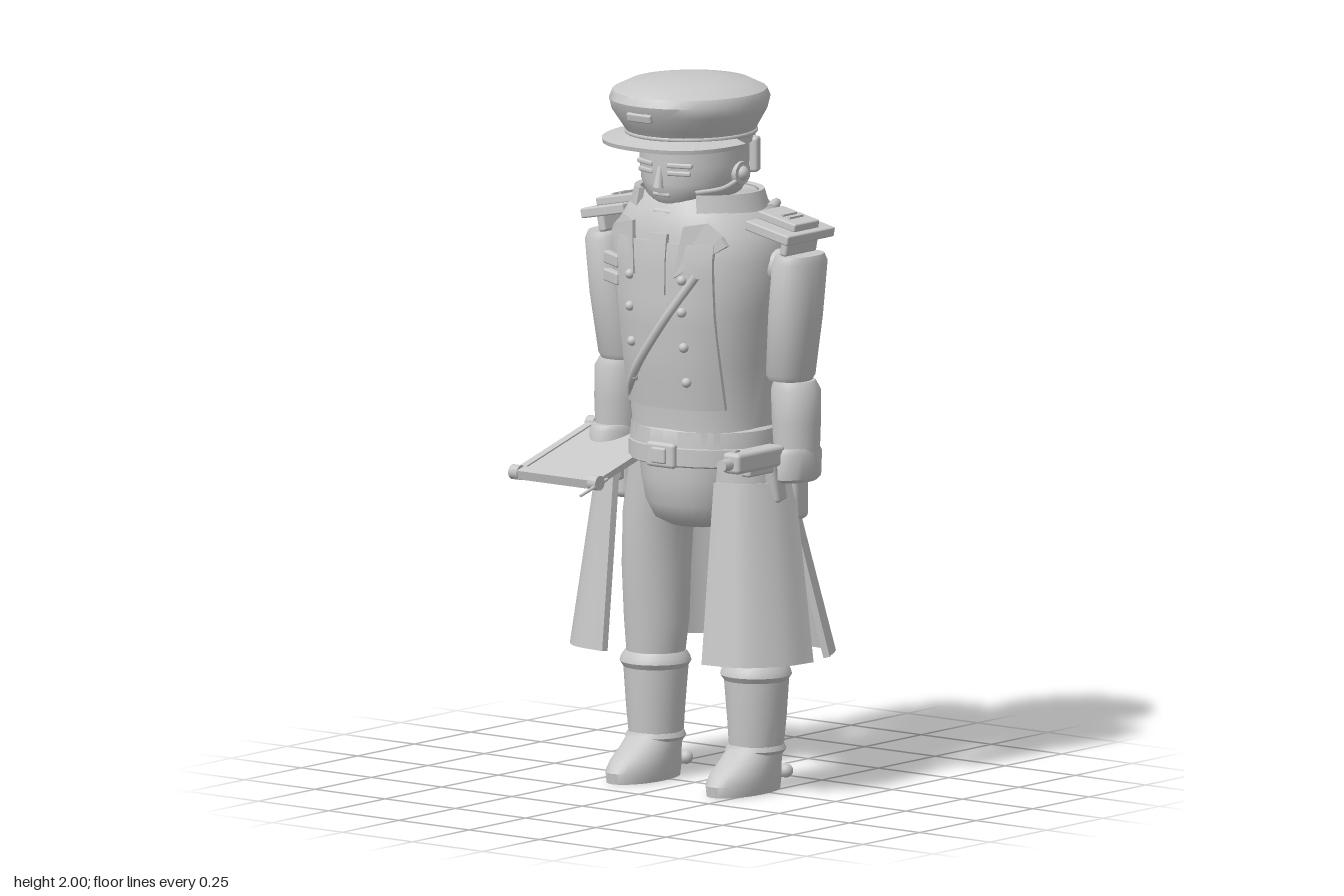
import * as THREE from 'three';
import { toCreasedNormals } from 'three/addons/utils/BufferGeometryUtils.js';
import { RoundedBoxGeometry } from 'three/addons/geometries/RoundedBoxGeometry.js';

const V = (x, y, z) => new THREE.Vector3(x, y, z);
const grey = new THREE.MeshStandardMaterial({ color: 0xc8c8c8 });
grey.name = 'plain grey';

// Signed power, for rounded-square outlines
const pw = (v, k) => Math.sign(v) * Math.abs(v) ** k;

// Closed body from oval rings; rows are [y, rx, rz, cx, cz], bottom to top
function loft(rows, n = 28, k = 1) {
  const pos = [], idx = [];
  for (const [y, rx, rz, cx = 0, cz = 0] of rows)
    for (let i = 0; i < n; i++) {
      const a = i / n * Math.PI * 2;
      pos.push(cx + pw(Math.sin(a), k) * rx, y, cz + pw(Math.cos(a), k) * rz);
    }
  for (let j = 0; j < rows.length - 1; j++)
    for (let i = 0; i < n; i++) {
      const a = j * n + i, b = j * n + (i + 1) % n;
      idx.push(a, b, b + n, a, b + n, a + n);
    }
  const top = (rows.length - 1) * n, c = rows.length * n;
  for (const [y, , , cx = 0, cz = 0] of [rows[0], rows[rows.length - 1]]) pos.push(cx, y, cz);
  for (let i = 0; i < n; i++) {
    const j = (i + 1) % n;
    idx.push(c, j, i, c + 1, top + i, top + j);
  }
  const g = new THREE.BufferGeometry();
  g.setAttribute('position', new THREE.Float32BufferAttribute(pos, 3));
  g.setIndex(idx);
  return toCreasedNormals(g, 0.7);
}

// Cloth of even thickness between a lower and an upper edge, each a function of u
function sheet(low, high, t = 0.016, nu = 20, nv = 6) {
  const g = new THREE.BoxGeometry(1, 1, 1, nu, nv, 1), p = g.attributes.position;
  const at = (u, v) => low(u).lerp(high(u), v);
  for (let i = 0; i < p.count; i++) {
    const u = p.getX(i) + 0.5, v = p.getY(i) + 0.5, e = 0.01;
    const u0 = Math.max(u - e, 0), u1 = Math.min(u + e, 1);
    const du = at(u1, v).sub(at(u0, v)), dv = high(u).sub(low(u));
    const q = at(u, v).addScaledVector(du.cross(dv).normalize(), p.getZ(i) * t);
    p.setXYZ(i, q.x, q.y, q.z);
  }
  g.computeVertexNormals();
  return g;
}

const curve = pts => new THREE.CatmullRomCurve3(pts.map(p => V(...p)));
const edge = (...pts) => {
  const c = curve(pts);
  return u => c.getPoint(u);
};
const tube = (pts, r) => new THREE.TubeGeometry(curve(pts), 24, r, 8);

const ROUND = 0.9;
const TORSO = [
  [0.97, 0.212, 0.18, 0, -0.015], [1.03, 0.203, 0.176, 0, -0.014], [1.2, 0.222, 0.199, 0, -0.012],
  [1.35, 0.245, 0.209, 0, -0.009], [1.5, 0.268, 0.206, 0, -0.008], [1.57, 0.25, 0.196, 0, -0.006],
  [1.63, 0.205, 0.178, 0, -0.002], [1.67, 0.15, 0.15, 0, 0]];

// Depth of the coat's front at a point
function chest(x, y) {
  let k = 0;
  while (k < TORSO.length - 2 && y > TORSO[k + 1][0]) k++;
  const a = TORSO[k], b = TORSO[k + 1];
  const t = (y - a[0]) / (b[0] - a[0]), m = i => a[i] + (b[i] - a[i]) * t;
  return m(4) + m(2) * Math.max(0, 1 - Math.abs(x / m(1)) ** (2 / ROUND)) ** (ROUND / 2);
}
const onChest = (x, y, lift) => [x, y, chest(x, y) + lift];

// Push a flat geometry onto the chest
function drape(g, lift) {
  const p = g.attributes.position;
  for (let i = 0; i < p.count; i++) p.setZ(i, p.getZ(i) + chest(p.getX(i), p.getY(i)) + lift);
  g.computeVertexNormals();
  return g;
}

export function createModel() {
  const model = new THREE.Group(), body = new THREE.Group();
  body.name = 'officer';
  body.position.x = 0.02;
  model.add(body);
  const add = (name, geo, x = 0, y = 0, z = 0, rx = 0, ry = 0, rz = 0, parent = body) => {
    const m = new THREE.Mesh(geo, grey);
    m.name = name;
    m.position.set(x, y, z);
    m.rotation.set(rx, ry, rz);
    parent.add(m);
  };
  const box = (w, h, d) => new THREE.BoxGeometry(w, h, d);
  const soft = (w, h, d, r = 0.01) => new RoundedBoxGeometry(w, h, d, 3, r);
  const rod = (r, l, r2 = r) => new THREE.CylinderGeometry(r2, r, l, 14);
  const ball = r => new THREE.SphereGeometry(r, 14, 10);

  // Coat, hips and belt
  add('coat', loft(TORSO, 32, ROUND));
  add('hips', loft([[0.735, 0.09, 0.095, 0, -0.01], [0.755, 0.13, 0.13, 0, -0.01], [0.8, 0.153, 0.153, 0, -0.01],
    [0.87, 0.166, 0.165, 0, -0.01], [0.95, 0.18, 0.165, 0, -0.01]], 28, ROUND));
  add('belt', loft([[0.915, 0.212, 0.18, 0, -0.015], [0.92, 0.222, 0.19, 0, -0.015],
    [0.968, 0.222, 0.19, 0, -0.015], [0.973, 0.212, 0.18, 0, -0.015]]));
  add('coatHem', loft([[0.97, 0.22, 0.186, 0, -0.015], [1.015, 0.216, 0.182, 0, -0.015], [1.025, 0.2, 0.172, 0, -0.015]]));
  add('buckle', soft(0.1, 0.07, 0.025), 0, 0.947, 0.172);
  add('buckleFrame', soft(0.05, 0.045, 0.02, 0.006), 0, 0.947, 0.183);
  add('backStrap', sheet(edge([0.14, 0.94, -0.165], [0, 0.94, -0.218], [-0.14, 0.94, -0.165]),
    edge([0.14, 0.975, -0.165], [0, 0.975, -0.218], [-0.14, 0.975, -0.165])));
  for (const s of [-1, 1]) add('strapButton', ball(0.016), s * 0.115, 0.957, -0.188);

  // Double-breasted front, lapels, buttons and medals
  const front = box(0.33, 0.47, 0.014).toNonIndexed() && new THREE.BoxGeometry(0.33, 0.47, 0.014, 16, 14, 1);
  add('coatFront', drape(front.translate(0.008, 1.315, 0), 0.002));
  add('shirtFront', drape(new THREE.BoxGeometry(0.06, 0.17, 0.012, 2, 6, 1).translate(0.01, 1.49, 0), 0.008));
  for (const s of [-1, 1]) {
    for (const y of [1.16, 1.26, 1.36, 1.45]) add('button', ball(0.014), ...onChest(s * 0.092, y, 0.01));
    const lapel = new THREE.Shape([[0.07, 1.455], [0.205, 1.55], [0.19, 1.575], [0.145, 1.61], [0.09, 1.6]]
      .map(([x, y]) => new THREE.Vector2(s * x, y)));
    add('lapel', drape(new THREE.ExtrudeGeometry(lapel, { depth: 0.014, bevelEnabled: false }), 0.005));
  }
  add('chestStrap', tube([[-0.205, 1.01], [-0.1, 1.155], [0.02, 1.31], [0.135, 1.465]]
    .map(([x, y]) => onChest(x, y, 0.014)), 0.012));
  for (const y of [1.475, 1.425]) add('medalBar', soft(0.095, 0.035, 0.025, 0.006), -0.19, y, 0.15, 0, -0.5);

  // Collar
  const ring = (y, rx, rz, dip) => u => {
    const a = (0.09 + 0.82 * u) * Math.PI * 2;
    return V(Math.sin(a) * rx, y - dip * Math.cos(a), 0.005 + Math.cos(a) * rz);
  };
  add('collar', sheet(ring(1.615, 0.2, 0.17, 0.015), ring(1.68, 0.18, 0.16, -0.004), 0.016, 36, 3));
  add('neckCloth', soft(0.07, 0.05, 0.04), 0, 1.615, 0.155);

  // Head and face
  add('neck', loft([[1.58, 0.1, 0.1], [1.68, 0.1, 0.1]]));
  add('head', loft([[1.628, 0.05, 0.075, 0, 0.05], [1.645, 0.09, 0.12, 0, 0.035], [1.675, 0.123, 0.147, 0, 0.03],
    [1.71, 0.143, 0.158, 0, 0.026], [1.76, 0.15, 0.16, 0, 0.025], [1.85, 0.15, 0.16, 0, 0.025]]));
  add('nose', rod(0.015, 0.06, 0.007), 0, 1.73, 0.184, -0.15);
  add('mouth', soft(0.06, 0.012, 0.015, 0.005), 0, 1.68, 0.171);
  for (const s of [-1, 1]) {
    add('brow', soft(0.075, 0.014, 0.016, 0.005), s * 0.06, 1.765, 0.168, 0, s * 0.35);
    add('eye', soft(0.07, 0.014, 0.012, 0.005), s * 0.058, 1.743, 0.169, 0, s * 0.35);
  }
  add('earPiece', rod(0.033, 0.03), 0.145, 1.735, 0.012, 0, 0, Math.PI / 2);
  add('earPad', ball(0.022), 0.153, 1.735, 0.012);
  add('leftHair', soft(0.03, 0.1, 0.04), 0.13, 1.775, -0.075, 0, 0.4);
  add('rightHair', soft(0.03, 0.13, 0.1), -0.137, 1.765, -0.04, 0, -0.2);
  add('mouthTube', tube([[0.155, 1.72, 0.02], [0.145, 1.7, 0.08], [0.1, 1.69, 0.15]], 0.007));
  add('napePad', soft(0.17, 0.11, 0.06), 0, 1.775, -0.112);

  // Peaked cap
  add('capBand', loft([[1.815, 0.166, 0.175, 0, 0.04], [1.86, 0.17, 0.18, 0, 0.042]]));
  add('capCrown', loft([[1.845, 0.175, 0.185, 0, 0.042], [1.865, 0.185, 0.196, 0, 0.045],
    [1.91, 0.212, 0.224, 0, 0.049], [1.94, 0.219, 0.233, 0, 0.049], [1.963, 0.21, 0.222, 0, 0.049],
    [1.985, 0.165, 0.175, 0, 0.048], [1.997, 0.08, 0.085, 0, 0.047], [2, 0.005, 0.005, 0, 0.047]], 32));
  add('capCord', new THREE.TorusGeometry(0.175, 0.007, 8, 40).scale(1, 1.05, 1), 0, 1.845, 0.042, Math.PI / 2);
  const peak = (rx, rz, y, drop, k) => u => {
    const a = (u - 0.5) * Math.PI * 0.95;
    return V(pw(Math.sin(a), k) * rx, y - drop * Math.cos(a), 0.045 + pw(Math.cos(a), k) * rz);
  };
  add('capPeak', sheet(peak(0.222, 0.24, 1.828, 0.008, 0.8), peak(0.155, 0.16, 1.84, 0, 1), 0.012, 28, 3));
  add('capPlate', soft(0.085, 0.026, 0.02, 0.006), 0, 1.908, 0.268, 0.25);

  // Radio pack, antenna and rod
  add('radioPack', soft(0.255, 0.28, 0.09, 0.018), 0, 1.38, -0.265);
  add('packFlap', soft(0.225, 0.08, 0.03, 0.01), 0, 1.465, -0.3);
  add('packBar', soft(0.14, 0.014, 0.014, 0.005), 0, 1.44, -0.316);
  add('antenna', tube([[-0.1, 1.5, -0.275], [-0.11, 1.66, -0.295], [-0.12, 1.822, -0.317]], 0.005));
  add('antennaBase', rod(0.009, 0.03), -0.1, 1.525, -0.276);
  add('backRod', tube([[-0.08, 1.27, -0.24], [-0.15, 1.16, -0.215], [-0.215, 1.04, -0.175]], 0.014));

  // Arms, epaulettes, legs and front skirts, mirrored
  for (const s of [-1, 1]) {
    add('upperArm', loft([[1.165, 0.058, 0.06, s * 0.297, -0.027], [1.18, 0.065, 0.069, s * 0.298, -0.027],
      [1.35, 0.068, 0.082, s * 0.318, -0.024], [1.5, 0.063, 0.09, s * 0.333, -0.024], [1.522, 0.055, 0.08, s * 0.333, -0.024]], 28, ROUND));
    add('shoulder', ball(0.05), s * 0.265, 1.48, -0.02);
    add('forearm', loft([[0.95, 0.062, 0.065, s * 0.318, -0.03], [1.05, 0.067, 0.07, s * 0.316, -0.03],
      [1.14, 0.068, 0.071, s * 0.314, -0.03], [1.165, 0.056, 0.062, s * 0.31, -0.03]]));
    add('cuff', loft([[0.885, 0.052, 0.07, s * 0.318, -0.022], [0.895, 0.06, 0.088, s * 0.318, -0.022],
      [0.965, 0.063, 0.09, s * 0.318, -0.022], [0.98, 0.058, 0.08, s * 0.318, -0.022]]));
    add('hand', soft(0.06, 0.13, 0.075, 0.02), s * 0.3, 0.835, -0.04);
    add('thumb', soft(0.03, 0.07, 0.03, 0.01), s * 0.285, 0.86, 0.012);

    const ep = new THREE.Group();
    ep.name = 'epaulette';
    ep.position.set(s * 0.293, 1.588, -0.03);
    ep.rotation.z = -s * 0.2;
    body.add(ep);
    add('epauletteBase', soft(0.155, 0.028, 0.21, 0.005), 0, 0, 0, 0, 0, 0, ep);
    add('epaulettePlate', soft(0.135, 0.024, 0.11, 0.005), -s * 0.01, 0.024, 0, 0, 0, 0, ep);
    add('epaulettePost', soft(0.025, 0.06, 0.14, 0.008), s * 0.04, -0.03, 0, 0, 0, 0, ep);
    for (const k of [-0.012, 0.012]) add('epauletteBar', box(0.009, 0.012, 0.06), k, 0.036, 0, 0, 0, 0, ep);
    add('shoulderStrap', tube([[s * 0.16, 1.632, -0.135], [s * 0.185, 1.637, -0.1], [s * 0.2, 1.63, -0.06]], 0.014));

    add('thigh', loft([[0.33, 0.08, 0.08, s * 0.178, -0.022], [0.45, 0.092, 0.09, s * 0.173, -0.02],
      [0.6, 0.093, 0.102, s * 0.17, -0.015], [0.75, 0.093, 0.11, s * 0.162, -0.015], [0.92, 0.1, 0.115, s * 0.13, -0.015]]));
    add('bootShaft', loft([[0.1, 0.072, 0.078, s * 0.178, -0.024], [0.2, 0.08, 0.086, s * 0.18, -0.024],
      [0.315, 0.09, 0.092, s * 0.179, -0.024]]));
    add('bootCuff', loft([[0.31, 0.09, 0.09, s * 0.179, -0.022], [0.325, 0.1, 0.1, s * 0.179, -0.022],
      [0.34, 0.096, 0.096, s * 0.179, -0.022], [0.355, 0.085, 0.086, s * 0.179, -0.022]]));
    add('ankleStrap', loft([[0.105, 0.075, 0.084, s * 0.178, -0.022], [0.115, 0.082, 0.09, s * 0.178, -0.022],
      [0.128, 0.076, 0.084, s * 0.178, -0.022]]));
    add('foot', loft([[0, 0.072, 0.137, s * 0.178, 0.033], [0.03, 0.076, 0.14, s * 0.178, 0.033],
      [0.06, 0.074, 0.128, s * 0.178, 0.022], [0.09, 0.072, 0.105, s * 0.178, 0], [0.13, 0.068, 0.078, s * 0.178, -0.022]]));
    add('heelRoll', new THREE.CapsuleGeometry(0.02, 0.08, 6, 12), s * 0.178, 0.045, -0.106, 0, 0, Math.PI / 2);

    // Skirt wraps from the hip to the front, its points ordered to face outward
    const side = pts => {
      const q = pts.map(([x, y, z]) => [s * x, y, z]);
      return edge(...(s > 0 ? q.reverse() : q));
    };
    add('frontSkirt', sheet(
      side([[0.385, 0.38, -0.01], [0.368, 0.38, 0.09], [0.295, 0.38, 0.185], [0.175, 0.38, 0.207]]),
      side([[0.31, 0.885, -0.02], [0.298, 0.885, 0.06], [0.25, 0.885, 0.13], [0.175, 0.885, 0.155]]), 0.02));
  }

  // Back coat skirt
  add('backSkirt', sheet(
    edge([0.315, 0.365, -0.165], [0.235, 0.365, -0.285], [0.13, 0.365, -0.3], [0, 0.365, -0.35], [-0.13, 0.365, -0.32],
      [-0.235, 0.365, -0.27], [-0.31, 0.365, -0.165]),
    edge([0.215, 0.9, -0.08], [0.16, 0.9, -0.17], [0.09, 0.9, -0.2], [0, 0.9, -0.22], [-0.09, 0.9, -0.2],
      [-0.16, 0.9, -0.17], [-0.215, 0.9, -0.08]), 0.018, 32));

  // Map board held in the right hand, sloping down to the front
  const board = new THREE.Group();
  board.name = 'mapBoard';
  board.position.set(-0.282, 0.915, 0.12);
  board.rotation.x = 0.27;
  body.add(board);
  add('mapSheet', box(0.28, 0.01, 0.35), 0, 0, 0, 0, 0, 0, board);
  for (const z of [-0.175, 0.175]) {
    add('mapBar', box(0.28, 0.026, 0.034), 0, 0, z, 0, 0, 0, board);
    for (const x of [-0.14, 0.14]) add('barEnd', rod(0.021, 0.03), x, 0, z, 0, 0, Math.PI / 2, board);
  }
  for (const x of [-0.136, 0.136]) add('mapRail', box(0.024, 0.018, 0.35), x, 0, 0, 0, 0, 0, board);
  add('pencil', rod(0.006, 0.12, 0.004), 0.147, -0.005, 0.195, Math.PI / 2, 0, 0, board);

  // Pistol in the left hand
  add('pistolBody', soft(0.06, 0.058, 0.21, 0.012), 0.305, 0.964, 0.145);
  add('pistolBarrel', rod(0.017, 0.06), 0.302, 0.962, 0.255, Math.PI / 2);
  add('pistolSight', box(0.012, 0.012, 0.02), 0.302, 0.993, 0.22);
  add('pistolGuard', soft(0.035, 0.025, 0.13, 0.008), 0.305, 0.93, 0.12);
  add('pistolGrip', soft(0.04, 0.12, 0.05, 0.012), 0.305, 0.89, 0.05, 0.2);
  return model;
}
